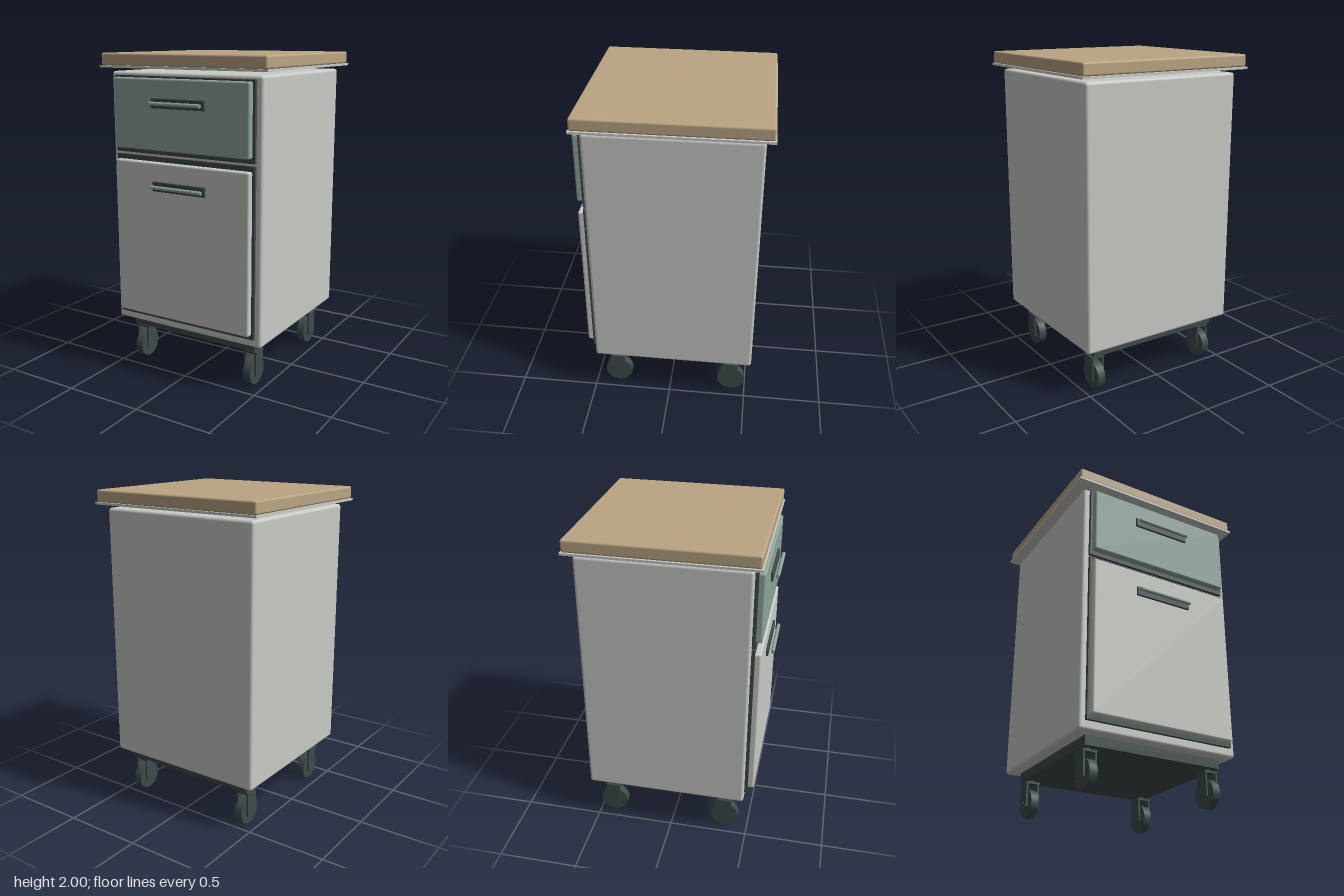
import * as THREE from 'three';
import { RoundedBoxGeometry } from 'three/addons/geometries/RoundedBoxGeometry.js';

const material = (name, color) => {
  const m = new THREE.MeshStandardMaterial({ color });
  m.name = name;
  return m;
};

export function createModel() {
  const wood = material('wood', 0xbaa583);
  const shell = material('light grey shell', 0xc9cbc6);
  const green = material('sage green', 0x8fa59c);
  const dark = material('dark slate', 0x3e4a4a);

  const model = new THREE.Group();
  model.name = 'rollingCabinet';

  const add = (parent, name, geometry, mat, x = 0, y = 0, z = 0) => {
    const mesh = new THREE.Mesh(geometry, mat);
    mesh.name = name;
    mesh.position.set(x, y, z);
    parent.add(mesh);
    return mesh;
  };
  // Box centred on x, given by its width and its y and z ranges; r rounds the edges
  const slab = (parent, name, mat, width, [y0, y1], [z0, z1], r = 0) => {
    const size = [width, y1 - y0, z1 - z0];
    const geometry = r ? new RoundedBoxGeometry(...size, 3, r) : new THREE.BoxGeometry(...size);
    return add(parent, name, geometry, mat, 0, (y0 + y1) / 2, (z0 + z1) / 2);
  };

  // Worktop, its thin lower tray, the cabinet body and the plinth
  slab(model, 'worktop', wood, 1.15, [1.925, 2], [-0.58, 0.525], 0.012);
  slab(model, 'worktopTray', shell, 1.164, [1.912, 1.926], [-0.587, 0.531]);
  slab(model, 'cabinetBody', shell, 1.06, [0.295, 1.89], [-0.535, 0.48], 0.018);
  slab(model, 'plinth', dark, 0.908, [0.235, 0.297], [-0.47, 0.415]);

  // Drawer and door: dark surround, raised panel, handle plate and bar
  const fronts = [
    { name: 'drawer', mat: green, frame: [1.403, 1.868], panel: [1.43, 1.858], handleY: 1.715 },
    { name: 'door', mat: shell, frame: [0.35, 1.387], panel: [0.376, 1.358], handleY: 1.215 },
  ];
  for (const { name, mat, frame, panel, handleY } of fronts) {
    const front = new THREE.Group();
    front.name = name;
    model.add(front);
    slab(front, name + 'Surround', dark, 0.98, frame, [0.475, 0.5]);
    slab(front, name + 'Panel', mat, 0.95, panel, [0.49, 0.537], 0.012);
    slab(front, name + 'HandlePlate', dark, 0.376, [handleY - 0.03, handleY + 0.03], [0.537, 0.551], 0.005);
    const bar = new THREE.CylinderGeometry(0.0115, 0.0115, 0.354, 20).rotateZ(Math.PI / 2);
    add(front, name + 'HandleBar', bar, green, 0, handleY, 0.576);
  }

  // Casters: stem, fork with two cheeks, axle and wheel
  const wheelGeometry = new THREE.CylinderGeometry(0.088, 0.088, 0.05, 32).rotateZ(Math.PI / 2);
  const axleGeometry = new THREE.CylinderGeometry(0.014, 0.014, 0.086, 16).rotateZ(Math.PI / 2);
  const cheekGeometry = new THREE.BoxGeometry(0.011, 0.155, 0.09);
  const crownGeometry = new THREE.BoxGeometry(0.092, 0.014, 0.09);
  const stemGeometry = new THREE.CylinderGeometry(0.027, 0.027, 0.03, 20);
  for (const x of [-0.41, 0.41]) {
    for (const z of [0.35, -0.405]) {
      const caster = new THREE.Group();
      caster.name = (z > 0 ? 'front' : 'back') + (x > 0 ? 'Left' : 'Right') + 'Caster';
      caster.position.set(x, 0, z);
      model.add(caster);
      add(caster, 'wheel', wheelGeometry, dark, 0, 0.088, 0);
      add(caster, 'axle', axleGeometry, dark, 0, 0.088, 0);
      add(caster, 'forkCrown', crownGeometry, dark, 0, 0.216, 0);
      add(caster, 'stem', stemGeometry, dark, 0, 0.23, 0);
      for (const side of [-1, 1]) add(caster, 'forkCheek', cheekGeometry, dark, side * 0.037, 0.143, 0);
    }
  }
  return model;
}
